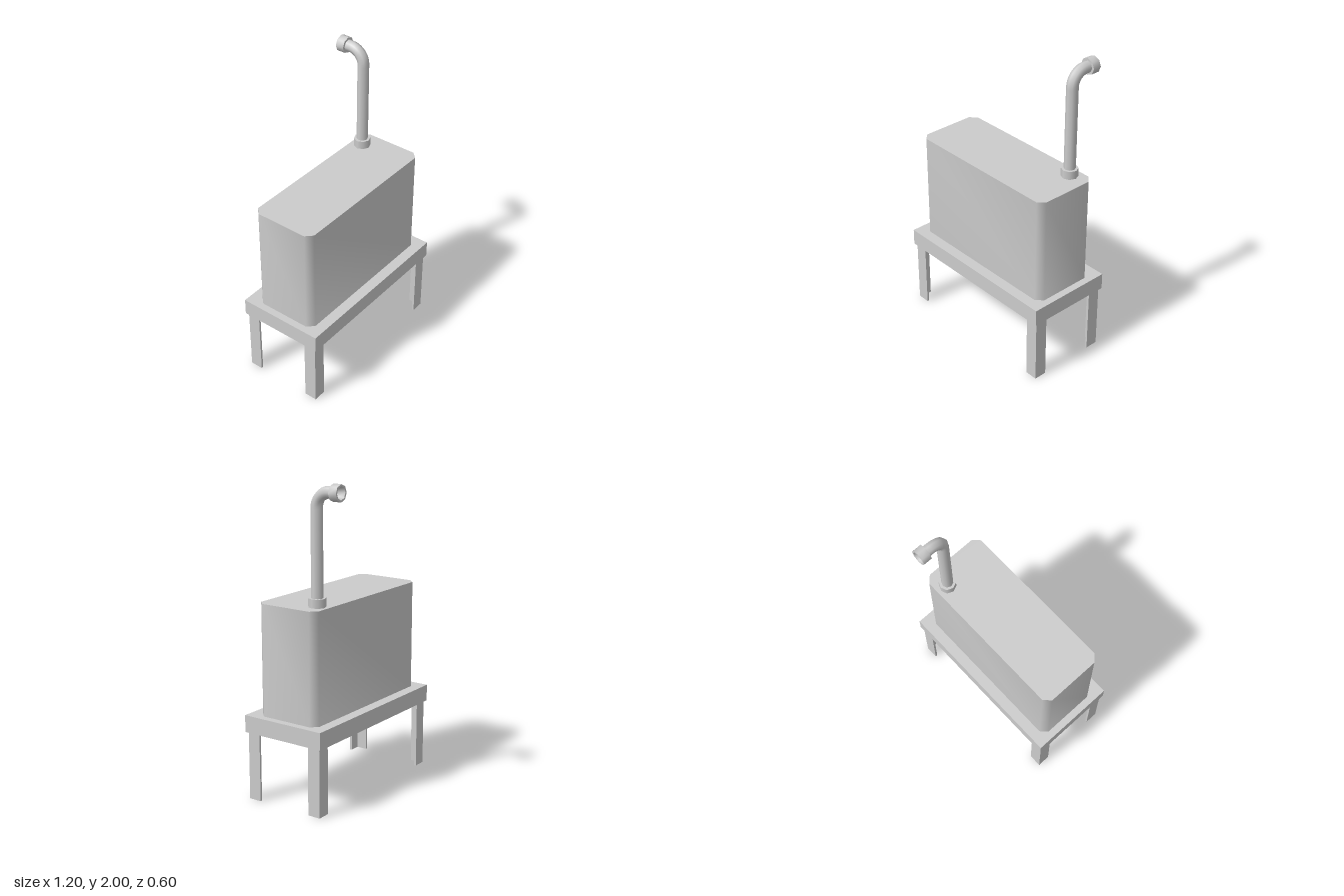
import * as THREE from 'three';
import { toCreasedNormals } from 'three/addons/utils/BufferGeometryUtils.js';

const grey = new THREE.MeshStandardMaterial({ color: 0xcccccc });
const greyOpen = new THREE.MeshStandardMaterial({ color: 0xcccccc, side: THREE.DoubleSide });

// Upright prism: outline points are [x, z], extruded from y0 to y1
function prism(points, y0, y1) {
  const shape = new THREE.Shape(points.map(([x, z]) => new THREE.Vector2(x, -z)));
  const geo = new THREE.ExtrudeGeometry(shape, { depth: y1 - y0, bevelEnabled: false });
  geo.rotateX(-Math.PI / 2).translate(0, y0, 0);
  return toCreasedNormals(geo, 1);
}

export function createModel() {
  const model = new THREE.Group();
  const add = (name, geo, mat = grey) => {
    const mesh = new THREE.Mesh(geo, mat);
    mesh.name = name;
    model.add(mesh);
    return mesh;
  };
  const midZ = 0.013;

  // Platform
  add('platform', new THREE.BoxGeometry(1.2, 0.11, 0.576).translate(0, 0.495, midZ));

  // Angle-iron legs, opening toward the middle
  const w = 0.085, t = 0.014;
  for (const sx of [1, -1]) for (const sz of [1, -1]) {
    const angle = [[0, 0], [w, 0], [w, t], [t, t], [t, w], [0, w]];
    const outline = angle.map(([a, b]) => [sx * (0.587 - a), midZ + sz * (0.272 - b)]);
    add((sz > 0 ? 'front' : 'back') + (sx > 0 ? 'Left' : 'Right') + 'Leg', prism(outline, 0, 0.44));
  }

  // Tank with chamfered corners
  const hx = 0.553, hz = 0.217, c = 0.042;
  add('tank', prism([
    [hx - c, hz], [hx, hz - c], [hx, c - hz], [hx - c, -hz],
    [c - hx, -hz], [-hx, c - hz], [-hx, hz - c], [c - hx, hz],
  ].map(([x, z]) => [x, z + midZ]), 0.55, 1.26));

  // Filler pipe: riser, quarter bend and short horizontal outlet
  const px = 0.424, pz = -0.128, py = 1.947, r = 0.095;
  const V = (y, z) => new THREE.Vector3(px, y, z);
  const path = new THREE.CurvePath();
  path.add(new THREE.LineCurve3(V(1.28, pz), V(py - r, pz)));
  const k = r * 0.448;
  path.add(new THREE.CubicBezierCurve3(V(py - r, pz), V(py - k, pz), V(py, pz - k), V(py, pz - r)));
  path.add(new THREE.LineCurve3(V(py, pz - r), V(py, -0.255)));
  add('pipe', new THREE.TubeGeometry(path, 48, 0.037, 8), greyOpen);

  // Collar where the pipe enters the tank
  add('pipeCollar', new THREE.CylinderGeometry(0.054, 0.054, 0.057, 8).translate(px, 1.286, pz));

  // Hollow collar around the outlet
  const profile = [[0.034, 0], [0.053, 0], [0.053, 0.056], [0.041, 0.056], [0.034, 0.02], [0.034, 0]]
    .map(([x, y]) => new THREE.Vector2(x, y));
  const outlet = toCreasedNormals(new THREE.LatheGeometry(profile, 8), 1);
  outlet.rotateX(-Math.PI / 2).translate(px, py, -0.247);
  add('outletCollar', outlet, greyOpen);

  return model;
}
